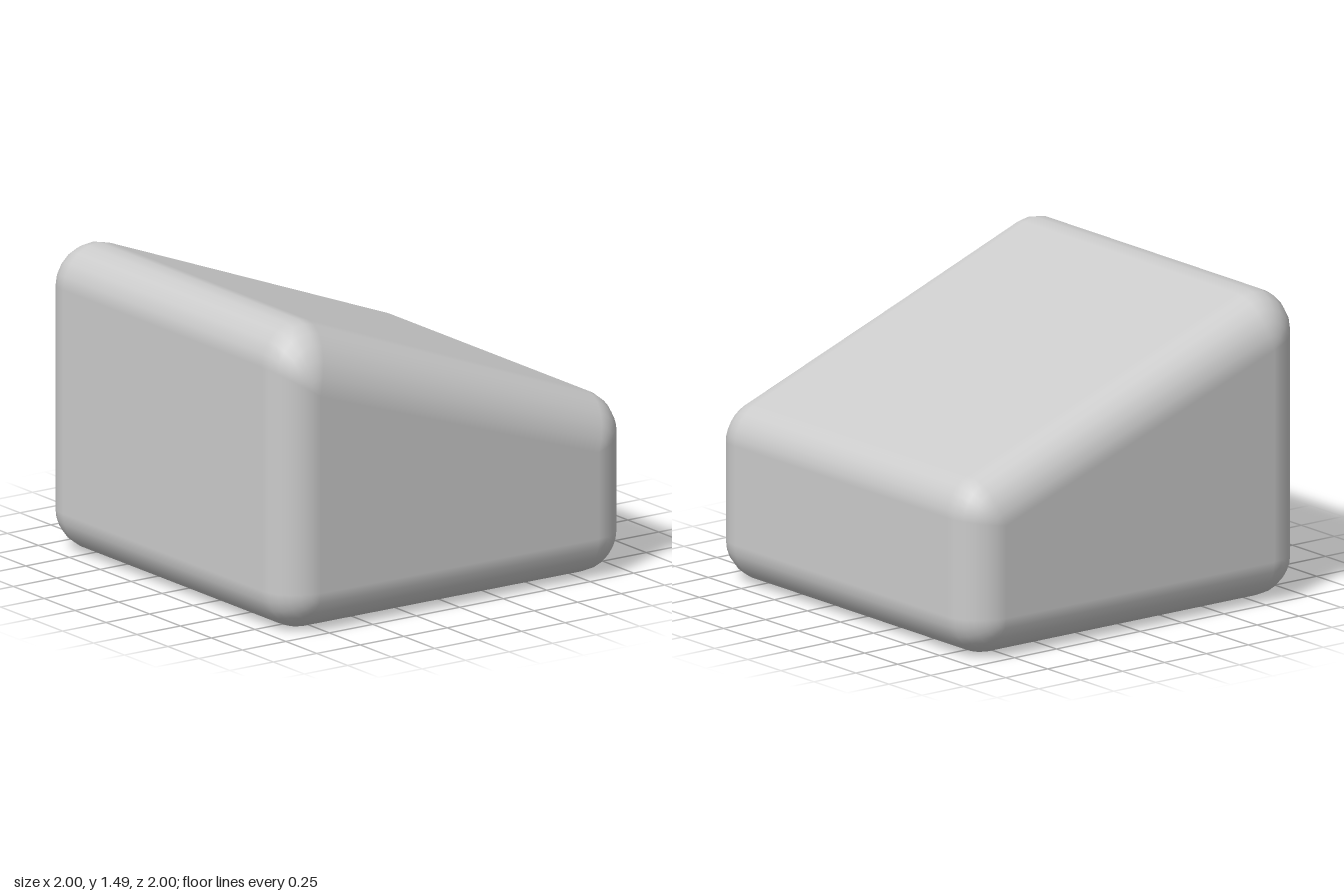
import * as THREE from 'three';

const R = 0.2;      // edge rounding
const STEPS = 6;    // segments per rounded edge
const SLOPE = Math.atan2(0.933, 0.361); // normal angle of the sloping top

// Inner corners, counter-clockwise: position, start and end angle of the
// rounding, and how far the corner sinks towards the front and back faces
const CORNERS = [
  { x: 0.8, y: 0.2, a: -Math.PI / 2, b: 0, front: 0, back: 0 },
  { x: 0.8, y: 0.68, a: 0, b: SLOPE, front: 0.06, back: 0.03 },
  { x: -0.8, y: 1.29, a: SLOPE, b: Math.PI, front: 0.13, back: 0.06 },
  { x: -0.8, y: 0.2, a: Math.PI, b: Math.PI * 1.5, front: 0, back: 0 },
];

function roundedWedge() {
  const pos = [], nor = [], idx = [];
  const count = CORNERS.length * (STEPS + 1);

  // One cross-section: the corner polygon grown by R cos(t), at depth z
  const addRing = (t, side) => {
    const c = Math.cos(t), s = Math.sin(t);
    for (const k of CORNERS) {
      const sink = (side > 0 ? k.front : k.back) * (1 - c);
      for (let i = 0; i <= STEPS; i++) {
        const a = k.a + (k.b - k.a) * i / STEPS;
        pos.push(k.x + R * c * Math.cos(a), k.y - sink + R * c * Math.sin(a), side * (1 - R) + R * s);
        nor.push(c * Math.cos(a), c * Math.sin(a), s);
      }
    }
  };
  for (const side of [-1, 1]) {
    for (let i = 0; i <= STEPS; i++) {
      addRing((side < 0 ? i - STEPS : i) * Math.PI / 2 / STEPS, side);
    }
  }

  // Skin between neighbouring cross-sections
  const rings = 2 * (STEPS + 1);
  for (let r = 0; r < rings - 1; r++) {
    for (let i = 0; i < count; i++) {
      const j = (i + 1) % count;
      const a = r * count + i, b = r * count + j;
      idx.push(a, b, b + count, a, b + count, a + count);
    }
  }

  // Flat front and back faces
  const last = (rings - 1) * count, n = STEPS + 1;
  for (const k of [1, 2]) {
    idx.push(0, (k + 1) * n, k * n);
    idx.push(last, last + k * n, last + (k + 1) * n);
  }

  const g = new THREE.BufferGeometry();
  g.setAttribute('position', new THREE.Float32BufferAttribute(pos, 3));
  g.setAttribute('normal', new THREE.Float32BufferAttribute(nor, 3));
  g.setIndex(idx);
  return g;
}

export function createModel() {
  const group = new THREE.Group();
  group.name = 'roundedWedge';
  const body = new THREE.Mesh(roundedWedge(), new THREE.MeshStandardMaterial({ color: 0xcccccc }));
  body.name = 'wedgeBody';
  group.add(body);
  return group;
}
